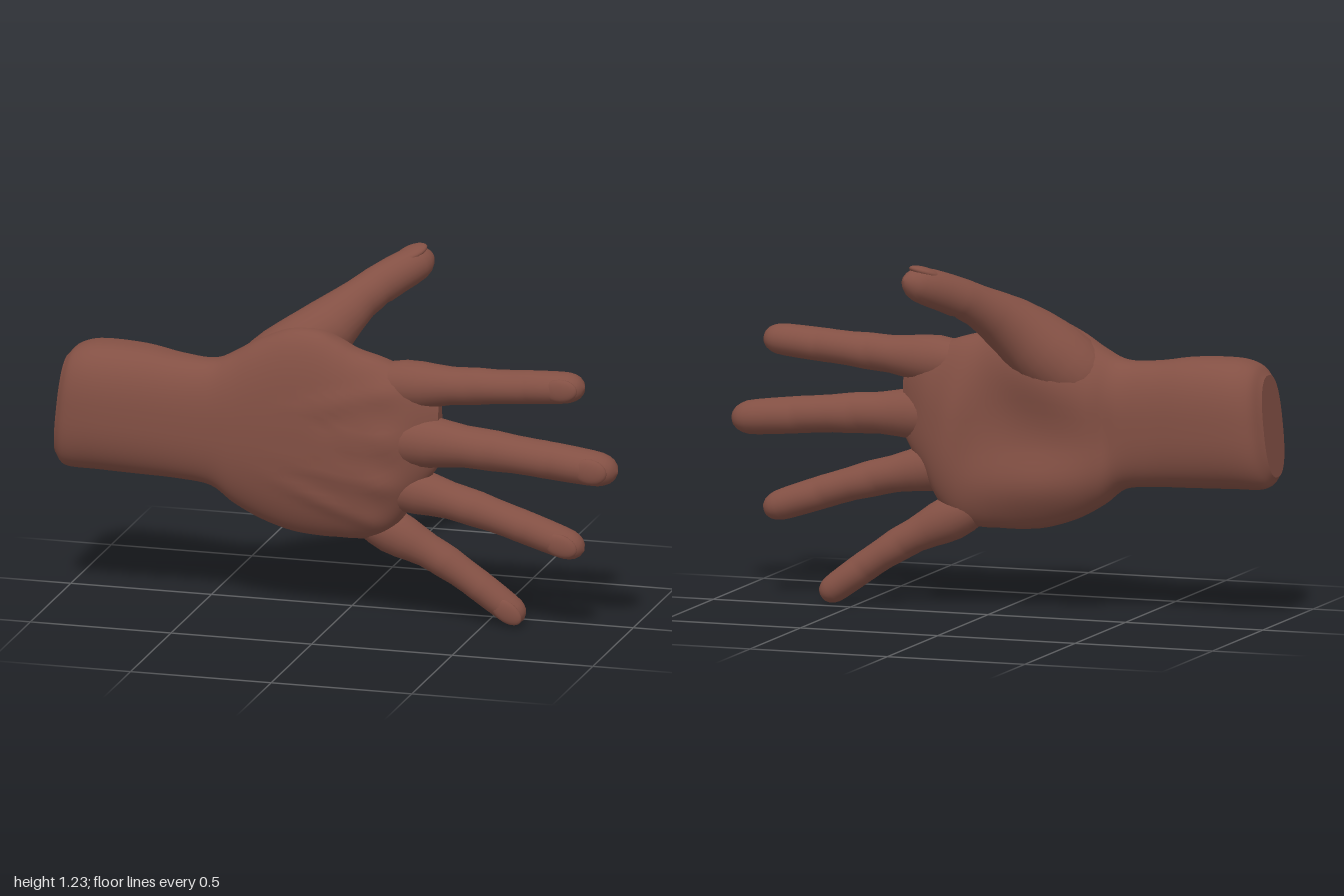
import * as THREE from 'three';

const V = (x, y, z) => new THREE.Vector3(x, y, z);
const skin = new THREE.MeshStandardMaterial({ color: 0x835044 });
skin.name = 'brown skin';

// Skin a list of rings (counter-clockwise about the direction of travel) and cap both ends
function loft(rings) {
  const seg = rings[0].length, pos = [], idx = [];
  const add = (p) => { pos.push(p.x, p.y, p.z); return pos.length / 3 - 1; };
  rings.forEach((ring) => ring.forEach(add));
  for (let i = 0; i < rings.length - 1; i++) {
    for (let j = 0; j < seg; j++) {
      const a = i * seg + j, b = i * seg + (j + 1) % seg;
      idx.push(a, b, b + seg, a, b + seg, a + seg);
    }
  }
  [rings[0], rings[rings.length - 1]].forEach((ring, end) => {
    const mid = ring.reduce((s, p) => s.add(p), V(0, 0, 0)).divideScalar(seg);
    const c = add(mid), first = ring.map(add)[0];
    for (let j = 0; j < seg; j++) {
      const a = first + j, b = first + (j + 1) % seg;
      if (end) idx.push(c, a, b); else idx.push(c, b, a);
    }
  });
  const g = new THREE.BufferGeometry();
  g.setAttribute('position', new THREE.Float32BufferAttribute(pos, 3));
  g.setIndex(idx);
  g.computeVertexNormals();
  return g;
}

// One closed ring of points from a rule of the angle
const ringOf = (seg, rule) => Array.from({ length: seg }, (_, j) => rule(j / seg * Math.PI * 2));

function part(group, name, geometry) {
  const m = new THREE.Mesh(geometry, skin);
  m.name = name;
  group.add(m);
  return m;
}

// Local axes at a point of a path: u sideways, v towards the back of the finger, t along
function frame(curve, at, back) {
  const p = curve.getPointAt(at), t = curve.getTangentAt(at);
  const v = back.clone().addScaledVector(t, -back.dot(t)).normalize();
  return { p, t, v, u: v.clone().cross(t) };
}

// Limb along a path; profile rows are [position 0..1, half width, half depth, crease on the palm side]
function limb(points, profile, back) {
  const curve = new THREE.CatmullRomCurve3(points);
  const geometry = loft(profile.map(([at, w, d, crease = 0]) => {
    const { p, u, v } = frame(curve, at, back);
    return ringOf(24, (a) => p.clone().addScaledVector(u, Math.cos(a) * w)
      .addScaledVector(v, Math.sin(a) * d * (Math.sin(a) < 0 ? 1 - crease : 1)));
  }));
  return { curve, geometry };
}

// Curved nail set into the back of the fingertip
function nail(group, name, curve, at, w, d, back) {
  const { p, t, u, v } = frame(curve, at, back);
  const m = part(group, name, new THREE.SphereGeometry(1, 20, 12));
  m.position.copy(p).addScaledVector(v, d * 0.75);
  m.quaternion.setFromRotationMatrix(new THREE.Matrix4().makeBasis(t, v, u.negate()));
  m.scale.set(0.062, d * 0.31, w * 0.74);
}

// Height of a soft oval swelling at x, y
function swelling(x, y, [cx, cy, length, width, turn, height]) {
  const c = Math.cos(turn), s = Math.sin(turn), dx = x - cx, dy = y - cy;
  return height * Math.exp(-(((dx * c + dy * s) / length) ** 2) - ((dy * c - dx * s) / width) ** 2);
}

// Fingers: root, middle and tip points, half width near the tip
const fingers = [
  ['index finger', V(0.12, 0.84, 0.15), V(0.5, 0.865, 0.162), V(0.878, 0.892, 0.174), 0.055],
  ['middle finger', V(0.12, 0.665, 0.162), V(0.55, 0.645, 0.178), V(0.998, 0.603, 0.183), 0.061],
  ['ring finger', V(0.1, 0.51, 0.152), V(0.48, 0.425, 0.147), V(0.863, 0.3, 0.13), 0.054],
  ['little finger', V(0.08, 0.36, 0.122), V(0.36, 0.212, 0.092), V(0.63, 0.02, 0.068), 0.05],
];

// Swellings [x, y, length, width, turn, height] on the palm side: thumb pad, heel pad, finger roots, wrist crease
const pads = [
  [-0.18, 0.85, 0.24, 0.15, 0.6, 0.055],
  [-0.17, 0.44, 0.26, 0.13, -0.12, 0.055],
  [0.16, 0.62, 0.08, 0.26, 0.2, 0.03],
  [-0.4, 0.66, 0.03, 0.2, 0, -0.012],
];
// Swellings on the back: a knuckle and a tendon for every finger
const ridges = fingers.flatMap(([, root]) => {
  const fan = Math.atan2((root.y - 0.64) * 0.6, 0.4);
  return [
    [root.x + 0.07, root.y, 0.07, 0.05, fan, 0.012],
    [root.x - 0.12, root.y - 0.18 * Math.tan(fan), 0.17, 0.028, fan, 0.01],
  ];
});

function palm() {
  // Sections: x, bottom, top, palm side z, back side z
  const sections = [
    [-0.985, 0.51, 0.86, 0.05, 0.24],
    [-0.945, 0.47, 0.9, 0.0, 0.275],
    [-0.85, 0.465, 0.915, -0.02, 0.29],
    [-0.7, 0.46, 0.91, -0.01, 0.285],
    [-0.57, 0.455, 0.89, 0.015, 0.27],
    [-0.45, 0.44, 0.885, 0.04, 0.262],
    [-0.37, 0.38, 0.92, 0.035, 0.265],
    [-0.28, 0.33, 0.975, 0.035, 0.268],
    [-0.17, 0.295, 1.02, 0.04, 0.27],
    [-0.07, 0.285, 1.02, 0.045, 0.27],
    [0, 0.285, 0.99, 0.045, 0.27],
    [0.06, 0.285, 0.96, 0.045, 0.268],
    [0.14, 0.295, 0.938, 0.045, 0.265],
    [0.21, 0.355, 0.915, 0.055, 0.257],
    [0.27, 0.45, 0.895, 0.072, 0.24],
    [0.32, 0.52, 0.855, 0.1, 0.215],
    [0.36, 0.58, 0.81, 0.135, 0.19],
  ];
  const heights = new THREE.CatmullRomCurve3(sections.map((s) => V(s[0], s[1], s[2])), false, 'catmullrom', 0.5);
  const depths = new THREE.CatmullRomCurve3(sections.map((s) => V(s[0], s[3], s[4])), false, 'catmullrom', 0.5);
  const soft = (c) => Math.sign(c) * Math.abs(c) ** 0.8;
  const steps = (sections.length - 1) * 5;
  return loft(Array.from({ length: steps + 1 }, (_, i) => {
    const { x, y: y0, z: y1 } = heights.getPoint(i / steps);
    const { y: z0, z: z1 } = depths.getPoint(i / steps);
    return ringOf(72, (a) => {
      const s = Math.sin(a);
      const y = (y0 + y1) / 2 + (y1 - y0) / 2 * soft(Math.cos(a));
      const z = (z0 + z1) / 2 + (z1 - z0) / 2 * soft(s);
      const swell = (s < 0 ? pads : ridges).reduce((sum, b) => sum + swelling(x, y, b), 0);
      const slant = 0.1 * (y - 0.68) * THREE.MathUtils.smoothstep(-x, 0.85, 0.95); // leaning cut end
      const drop = 0.025 * (Math.min(y - 0.66, 0) / 0.36) ** 2; // the little finger side falls away
      return V(x + slant, y, z - drop * THREE.MathUtils.smoothstep(x, -0.5, -0.3) + swell * soft(s));
    });
  }));
}

export function createModel() {
  const hand = new THREE.Group();
  hand.name = 'hand';
  part(hand, 'forearm and palm', palm());

  // Finger profile: [position, width factor, depth factor, crease], bulging at the joints, with a round tip
  const profile = [
    [0, 1.2, 1.2], [0.08, 1.45, 1.45], [0.16, 1.56, 1.52], [0.24, 1.47, 1.48], [0.3, 1.33, 1.37],
    [0.38, 1.18, 1.24], [0.45, 1.16, 1.24], [0.475, 1.16, 1.24, 0.08], [0.5, 1.15, 1.23], [0.58, 1.07, 1.16],
    [0.66, 1.05, 1.13], [0.7, 1.06, 1.15], [0.72, 1.05, 1.15, 0.07], [0.74, 1.05, 1.14], [0.82, 1.03, 1.13],
    [0.89, 1, 1.1], [0.93, 0.95, 1.03], [0.955, 0.84, 0.92], [0.975, 0.68, 0.74], [0.99, 0.44, 0.48],
    [1, 0.06, 0.06],
  ];
  const up = V(0, 0, 1);
  for (const [name, root, middle, tip, r] of fingers) {
    const rows = profile.map(([at, w, d, crease]) => [at, w * r, d * r, crease]);
    const { curve, geometry } = limb([root, middle, tip], rows, up);
    part(hand, name, geometry);
    nail(hand, name + ' nail', curve, 0.9, r, r * 1.09, up);
  }

  // Thumb, reaching up and away from the palm side
  const thumbBack = V(0, 1, 0);
  const thumbProfile = [
    [0, 0.06], [0.06, 0.1], [0.12, 0.118], [0.18, 0.126], [0.25, 0.129], [0.31, 0.125], [0.38, 0.117],
    [0.48, 0.101], [0.57, 0.084], [0.64, 0.073], [0.7, 0.07], [0.725, 0.07, 0.08], [0.75, 0.069],
    [0.82, 0.067], [0.88, 0.065], [0.93, 0.06], [0.96, 0.05], [0.982, 0.034], [0.994, 0.02], [1, 0.004],
  ];
  const thumb = limb(
    [V(-0.38, 0.76, 0.14), V(-0.2, 0.885, 0.108), V(-0.075, 0.995, 0.04), V(0.01, 1.075, -0.06),
      V(0.09, 1.13, -0.155), V(0.205, 1.19, -0.28)],
    thumbProfile.map(([at, r, crease]) => [at, r, r, crease]), thumbBack);
  part(hand, 'thumb', thumb.geometry);
  nail(hand, 'thumb nail', thumb.curve, 0.915, 0.062, 0.06, thumbBack);

  return hand;
}
